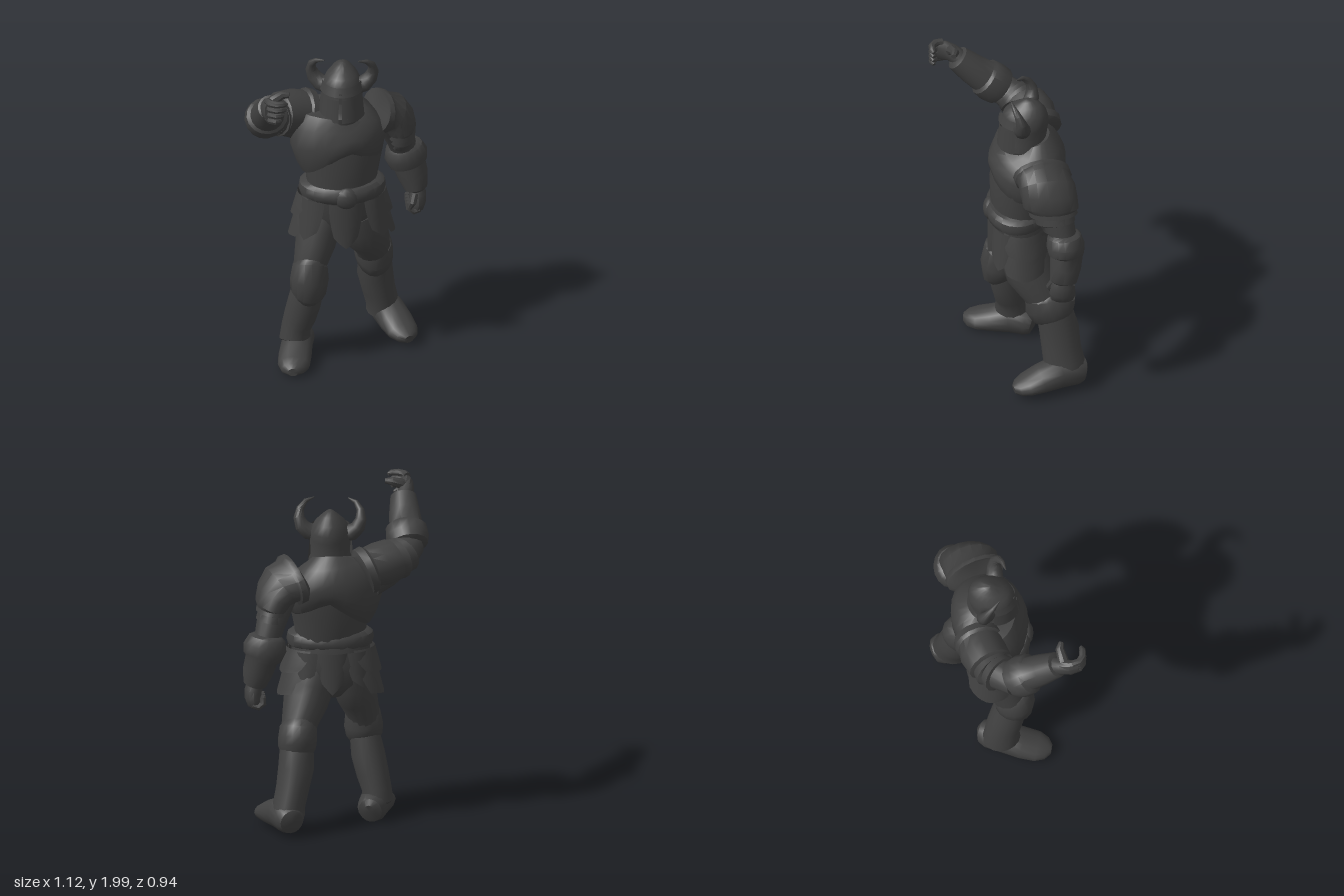
import * as THREE from 'three';
import { toCreasedNormals } from 'three/addons/utils/BufferGeometryUtils.js';

const armor = new THREE.MeshStandardMaterial({ color: 0x404040, side: THREE.DoubleSide });
armor.name = 'dark iron';
const FRONT = [0, 0, 1], UP = [0, 1, 0];

// Closed loft through rows of [x, y, z, radiusA, radiusB]; radiusB lies along the ref direction
function loft(rows, ref = FRONT, sides = 16, rule = null) {
  const pts = rows.map(r => new THREE.Vector3(r[0], r[1], r[2]));
  const refV = new THREE.Vector3(...ref), pos = [], idx = [], n = rows.length;
  rows.forEach(([, , , ra, rb = ra], i) => {
    const t = pts[Math.min(i + 1, n - 1)].clone().sub(pts[Math.max(i - 1, 0)]).normalize();
    const f = refV.clone().addScaledVector(t, -refV.dot(t)).normalize();
    const s = t.clone().cross(f);
    for (let j = 0; j < sides; j++) {
      const a = j / sides * Math.PI * 2;
      const p = pts[i].clone().addScaledVector(s, Math.cos(a) * ra).addScaledVector(f, Math.sin(a) * rb);
      if (rule) rule(p);
      pos.push(p.x, p.y, p.z);
    }
  });
  for (const p of [pts[0].clone(), pts[n - 1].clone()]) {
    if (rule) rule(p);
    pos.push(p.x, p.y, p.z);
  }
  const c0 = n * sides, c1 = c0 + 1, top = (n - 1) * sides;
  for (let j = 0; j < sides; j++) {
    const k = (j + 1) % sides;
    for (let i = 0; i < n - 1; i++) {
      const a = i * sides, b = a + sides;
      idx.push(a + j, b + j, a + k, b + j, b + k, a + k);
    }
    idx.push(c0, j, k, c1, top + k, top + j);
  }
  const g = new THREE.BufferGeometry();
  g.setAttribute('position', new THREE.Float32BufferAttribute(pos, 3));
  g.setIndex(idx);
  return toCreasedNormals(g, 0.7);
}

function add(parent, name, geo, place = [0, 0, 0]) {
  const m = new THREE.Mesh(geo, armor);
  m.name = name;
  m.position.set(...place);
  parent.add(m);
  return m;
}

// Hanging plate wrapped around the hips, pointed at the lower edge
function hipPlate(angle, half, top, bottom, flare, point) {
  const g = new THREE.PlaneGeometry(2, 1, 8, 5), p = g.attributes.position;
  for (let i = 0; i < p.count; i++) {
    const u = p.getX(i), v = 0.5 - p.getY(i);
    const a = angle + u * half * (1 - 0.3 * v * v);
    const y = top - (top - bottom) * v * (1 - point * Math.abs(u));
    const r = flare * v + 0.018 * (1 - u * u);
    p.setXYZ(i, 0.02 + Math.sin(a) * (0.245 + r), y, -0.08 + Math.cos(a) * (0.175 + r));
  }
  g.computeVertexNormals();
  return g;
}

// Stretches the front of a knee guard into a point above and below
const kneePoint = kz => p => { p.y += (p.y - 0.56) * Math.max(0, p.z - kz) * 4; };
// Left shoulder armour slopes down towards the back
const slopeBack = p => { p.y += (p.z + 0.22) * 0.2; };

export function createModel() {
  const model = new THREE.Group();
  model.name = 'hornedKnight';
  const chestFront = [Math.sin(0.25), 0, Math.cos(0.25)];

  // Trunk
  add(model, 'pelvis', loft([[0.01, 0.8, -0.1, 0.07, 0.09], [0.01, 0.87, -0.105, 0.18, 0.15],
    [0.015, 0.98, -0.095, 0.235, 0.175], [0.02, 1.12, -0.08, 0.23, 0.17]]));
  add(model, 'abdomen', loft([[0.02, 1.08, -0.07, 0.215, 0.165], [0.02, 1.2, -0.08, 0.215, 0.175],
    [0.02, 1.32, -0.09, 0.24, 0.19], [0.02, 1.5, -0.11, 0.25, 0.18]], chestFront, 20));
  add(model, 'breastplate', loft([[0.02, 1.265, -0.1, 0.22, 0.18], [0.02, 1.275, -0.1, 0.245, 0.2],
    [0.01, 1.34, -0.11, 0.268, 0.22], [0, 1.42, -0.12, 0.288, 0.225], [0, 1.5, -0.135, 0.29, 0.212],
    [0.01, 1.565, -0.155, 0.255, 0.193], [0.02, 1.615, -0.165, 0.18, 0.15], [0.02, 1.65, -0.155, 0.11, 0.1]],
  chestFront, 24, p => {
    const lift = 0.15 * Math.max(0, 1 - Math.abs(p.x - 0.05) / 0.24);
    if (p.y < 1.55) p.y += lift * (1.55 - p.y) / 0.29;
  }));
  add(model, 'belt', loft([[0.02, 1.085, -0.065, 0.225, 0.17], [0.02, 1.1, -0.065, 0.25, 0.185],
    [0.02, 1.13, -0.065, 0.258, 0.192], [0.02, 1.165, -0.065, 0.252, 0.187], [0.02, 1.185, -0.065, 0.225, 0.17]], FRONT, 24));
  add(model, 'buckle', new THREE.SphereGeometry(1, 12, 8), [0.03, 1.125, 0.1]).scale.set(0.07, 0.068, 0.04);
  add(model, 'neck', loft([[0.02, 1.56, -0.14, 0.12, 0.12], [0.02, 1.7, -0.11, 0.09, 0.09]]));

  // Hip plates, two overlapping layers at the sides
  add(model, 'frontLoinPlate', hipPlate(0.03, 0.42, 1.08, 0.79, 0, 0.22));
  add(model, 'backLoinPlate', hipPlate(Math.PI, 0.4, 1.08, 0.83, 0, 0.3));
  for (const s of [-1, 1]) {
    add(model, 'frontTasset', hipPlate(s * 0.95, 0.45, 1.09, 0.83, 0.03, 0.25));
    add(model, 'lowerHipPlate', hipPlate(s * 1.75, 0.75, 1.02, 0.8, 0.055, 0.12));
    add(model, 'upperHipPlate', hipPlate(s * 1.8, 0.8, 1.09, 0.94, 0.04, 0.15));
    add(model, 'rearHipPlate', hipPlate(s * 2.4, 0.4, 1.08, 0.86, 0.015, 0.25));
  }

  // Helmet with visor and horns
  const helmet = new THREE.Group();
  helmet.name = 'helmet';
  helmet.position.set(0.022, 1.59, -0.1);
  helmet.rotation.y = -0.16;
  model.add(helmet);
  add(helmet, 'helmetShell', loft([[0, 0, 0.01, 0.122, 0.14], [0, 0.025, 0.01, 0.13, 0.147],
    [0, 0.06, 0.003, 0.116, 0.132], [0, 0.17, -0.006, 0.12, 0.138], [0, 0.22, -0.014, 0.115, 0.135],
    [0, 0.265, -0.02, 0.09, 0.115], [0, 0.3, -0.018, 0.058, 0.083], [0, 0.325, -0.014, 0.028, 0.042],
    [0, 0.338, -0.01, 0.006, 0.008]], FRONT, 20));
  const sheet = (name, rt, rb, h, y, start, len) =>
    add(helmet, name, new THREE.CylinderGeometry(rt, rb, h, 10, 1, true, start, len), [0, y, 0.002]).scale.set(0.92, 1, 1.04);
  for (const s of [-1, 1]) {
    sheet('cheekPlate', 0.135, 0.15, 0.145, 0.09, s > 0 ? 0.07 : -1.37, 1.3);
    add(helmet, 'horn', loft([[s * 0.08, 0.19, 0, 0.052], [s * 0.13, 0.2, -0.014, 0.05],
      [s * 0.166, 0.237, -0.022, 0.043], [s * 0.183, 0.285, -0.018, 0.033], [s * 0.177, 0.335, 0.002, 0.023],
      [s * 0.148, 0.372, 0.032, 0.014], [s * 0.1, 0.388, 0.06, 0.003]], FRONT, 12));
  }
  sheet('browBand', 0.125, 0.143, 0.055, 0.213, -1.4, 2.8);
  add(helmet, 'noseGuard', new THREE.BoxGeometry(0.018, 0.07, 0.02), [0, 0.175, 0.135]);

  // Lowered left arm
  add(model, 'leftUpperArm', loft([[0.28, 1.54, -0.22, 0.1], [0.35, 1.4, -0.27, 0.1],
    [0.39, 1.28, -0.315, 0.085], [0.42, 1.16, -0.345, 0.075]]));
  add(model, 'leftPauldron', loft([[0.225, 1.54, -0.2, 0.115, 0.145], [0.235, 1.535, -0.205, 0.14, 0.178],
    [0.268, 1.527, -0.217, 0.14, 0.178], [0.28, 1.525, -0.222, 0.12, 0.165], [0.325, 1.51, -0.24, 0.122, 0.17],
    [0.36, 1.465, -0.252, 0.11, 0.168], [0.383, 1.405, -0.262, 0.095, 0.165], [0.384, 1.39, -0.265, 0.08, 0.14]],
  FRONT, 16, slopeBack));
  add(model, 'leftArmLames', loft([[0.377, 1.42, -0.262, 0.08, 0.14], [0.384, 1.365, -0.276, 0.09, 0.148],
    [0.386, 1.36, -0.277, 0.074, 0.12], [0.392, 1.32, -0.287, 0.082, 0.122], [0.394, 1.315, -0.289, 0.068, 0.1],
    [0.398, 1.275, -0.303, 0.074, 0.092], [0.4, 1.27, -0.305, 0.06, 0.078]], FRONT, 16, slopeBack));
  add(model, 'leftGauntlet', loft([[0.408, 1.235, -0.34, 0.08], [0.411, 1.215, -0.34, 0.11, 0.1],
    [0.424, 1.16, -0.347, 0.13, 0.113], [0.438, 1.105, -0.352, 0.117, 0.105], [0.444, 1.09, -0.352, 0.098, 0.096],
    [0.463, 1.02, -0.347, 0.092, 0.092], [0.482, 0.935, -0.335, 0.07, 0.08], [0.483, 0.925, -0.335, 0.05, 0.06]]));
  add(model, 'leftFist', loft([[0.482, 0.95, -0.335, 0.045, 0.05], [0.492, 0.9, -0.33, 0.05, 0.068],
    [0.492, 0.85, -0.33, 0.05, 0.077], [0.485, 0.81, -0.33, 0.042, 0.07], [0.48, 0.79, -0.33, 0.02, 0.05]], FRONT, 12));
  for (let i = 0; i < 4; i++) {
    const z = -0.385 + i * 0.036;
    add(model, 'leftFinger', loft([[0.5, 0.815, z, 0.018], [0.465, 0.803, z, 0.021], [0.437, 0.825, z, 0.02],
      [0.437, 0.865, z, 0.017]], FRONT, 8));
  }
  add(model, 'leftThumb', loft([[0.47, 0.92, -0.28, 0.024], [0.455, 0.87, -0.255, 0.022], [0.44, 0.83, -0.27, 0.015]], FRONT, 8));

  // Raised right arm
  add(model, 'rightUpperArm', loft([[-0.2, 1.52, -0.16, 0.12], [-0.3, 1.56, -0.13, 0.11],
    [-0.4, 1.61, -0.05, 0.1], [-0.46, 1.65, 0.05, 0.088]], UP));
  add(model, 'rightPauldron', loft([[-0.155, 1.555, -0.185, 0.11, 0.11], [-0.165, 1.56, -0.182, 0.145, 0.14],
    [-0.2, 1.572, -0.172, 0.147, 0.145], [-0.21, 1.575, -0.168, 0.133, 0.13], [-0.27, 1.592, -0.147, 0.142, 0.135],
    [-0.345, 1.61, -0.105, 0.134, 0.125], [-0.355, 1.612, -0.1, 0.11, 0.105]], UP));
  add(model, 'rightArmLames', loft([[-0.335, 1.597, -0.11, 0.115, 0.112], [-0.375, 1.605, -0.078, 0.128, 0.122],
    [-0.379, 1.606, -0.075, 0.11, 0.105], [-0.41, 1.62, -0.042, 0.12, 0.112],
    [-0.414, 1.622, -0.038, 0.09, 0.09]], UP));
  add(model, 'rightGauntlet', loft([[-0.452, 1.64, 0.03, 0.08], [-0.45, 1.655, 0.045, 0.115],
    [-0.445, 1.69, 0.085, 0.128, 0.12], [-0.442, 1.73, 0.13, 0.122, 0.112], [-0.442, 1.74, 0.14, 0.1, 0.098],
    [-0.438, 1.8, 0.21, 0.092, 0.09], [-0.436, 1.875, 0.29, 0.077, 0.076], [-0.436, 1.883, 0.297, 0.055]], UP));
  add(model, 'rightPalm', loft([[-0.44, 1.87, 0.275, 0.052], [-0.455, 1.9, 0.325, 0.046, 0.055],
    [-0.463, 1.91, 0.37, 0.04, 0.068], [-0.455, 1.915, 0.415, 0.03, 0.066]], UP, 12));
  for (let i = 0; i < 4; i++) {
    const y = 1.86 + i * 0.037, r = 0.022, x = [-0.035, -0.02, -0.01, 0][i];
    add(model, 'rightFinger', loft([[-0.465, y, 0.38, r], [-0.45, y + 0.003, 0.42, r], [-0.415, y + 0.005, 0.441, r],
      [-0.375 + x, y + 0.005, 0.438, 0.019], [-0.355 + x, y, 0.428, 0.011]], UP, 8));
  }
  add(model, 'rightThumb', loft([[-0.455, 1.915, 0.335, 0.036], [-0.42, 1.945, 0.322, 0.031],
    [-0.37, 1.965, 0.305, 0.026], [-0.33, 1.965, 0.312, 0.016]], UP, 8));

  // Right leg, stepping forward
  add(model, 'rightThigh', loft([[-0.09, 0.95, -0.09, 0.12, 0.14], [-0.115, 0.85, -0.07, 0.125, 0.145],
    [-0.14, 0.76, -0.045, 0.12, 0.135], [-0.178, 0.64, 0.01, 0.098, 0.108], [-0.19, 0.52, 0.02, 0.09]]));
  add(model, 'rightKneeGuard', loft([[-0.175, 0.655, 0.015, 0.09, 0.1], [-0.178, 0.64, 0.02, 0.104, 0.112],
    [-0.183, 0.56, 0.035, 0.115, 0.12], [-0.188, 0.5, 0.03, 0.108, 0.112], [-0.19, 0.465, 0.02, 0.085, 0.085]],
  FRONT, 16, kneePoint(0.03)));
  add(model, 'rightGreave', loft([[-0.19, 0.5, 0.01, 0.09, 0.095], [-0.207, 0.39, -0.005, 0.1, 0.103],
    [-0.232, 0.28, -0.028, 0.096, 0.104], [-0.255, 0.19, -0.04, 0.088, 0.106], [-0.26, 0.12, -0.042, 0.093, 0.113],
    [-0.26, 0.11, -0.042, 0.08, 0.095]], FRONT, 16, p => { if (p.y < 0.24) p.y += Math.max(0, p.z + 0.04) * 0.4; }));
  add(model, 'rightShoe', loft([[-0.205, 0.08, -0.168, 0.035, 0.045], [-0.21, 0.085, -0.155, 0.07, 0.075],
    [-0.222, 0.09, -0.12, 0.087, 0.09], [-0.248, 0.1, -0.03, 0.092, 0.1], [-0.272, 0.075, 0.08, 0.098, 0.075],
    [-0.288, 0.06, 0.17, 0.095, 0.058], [-0.298, 0.055, 0.225, 0.07, 0.045], [-0.302, 0.055, 0.255, 0.03, 0.025]], UP, 16,
  p => { p.y = Math.max(p.y, 0.01 + 0.05 * (p.z + 0.17)); }));

  // Left leg, planted behind
  add(model, 'leftThigh', loft([[0.11, 0.95, -0.1, 0.13, 0.15], [0.14, 0.85, -0.115, 0.14, 0.155],
    [0.17, 0.76, -0.14, 0.135, 0.15], [0.21, 0.65, -0.21, 0.108, 0.125], [0.228, 0.52, -0.26, 0.095, 0.1]]));
  add(model, 'leftKneeGuard', loft([[0.218, 0.645, -0.23, 0.095, 0.115], [0.22, 0.63, -0.24, 0.11, 0.14],
    [0.225, 0.57, -0.257, 0.115, 0.152], [0.23, 0.52, -0.277, 0.112, 0.135], [0.232, 0.485, -0.29, 0.095, 0.11]],
  FRONT, 16, kneePoint(-0.23)));
  add(model, 'leftGreave', loft([[0.232, 0.52, -0.28, 0.1, 0.11], [0.238, 0.4, -0.307, 0.106, 0.118],
    [0.26, 0.28, -0.32, 0.098, 0.116], [0.283, 0.18, -0.338, 0.096, 0.122], [0.288, 0.13, -0.342, 0.1, 0.122],
    [0.288, 0.12, -0.342, 0.08, 0.1]]));
  add(model, 'leftShoe', loft([[0.27, 0.11, -0.46, 0.04, 0.05], [0.273, 0.113, -0.45, 0.07, 0.075],
    [0.283, 0.12, -0.415, 0.09, 0.09], [0.315, 0.13, -0.31, 0.1, 0.1], [0.355, 0.105, -0.2, 0.102, 0.078],
    [0.385, 0.085, -0.12, 0.095, 0.055], [0.405, 0.075, -0.07, 0.068, 0.04], [0.415, 0.07, -0.045, 0.03, 0.025]], UP, 16,
  p => { p.y = Math.max(p.y, 0.04); }));
  return model;
}
